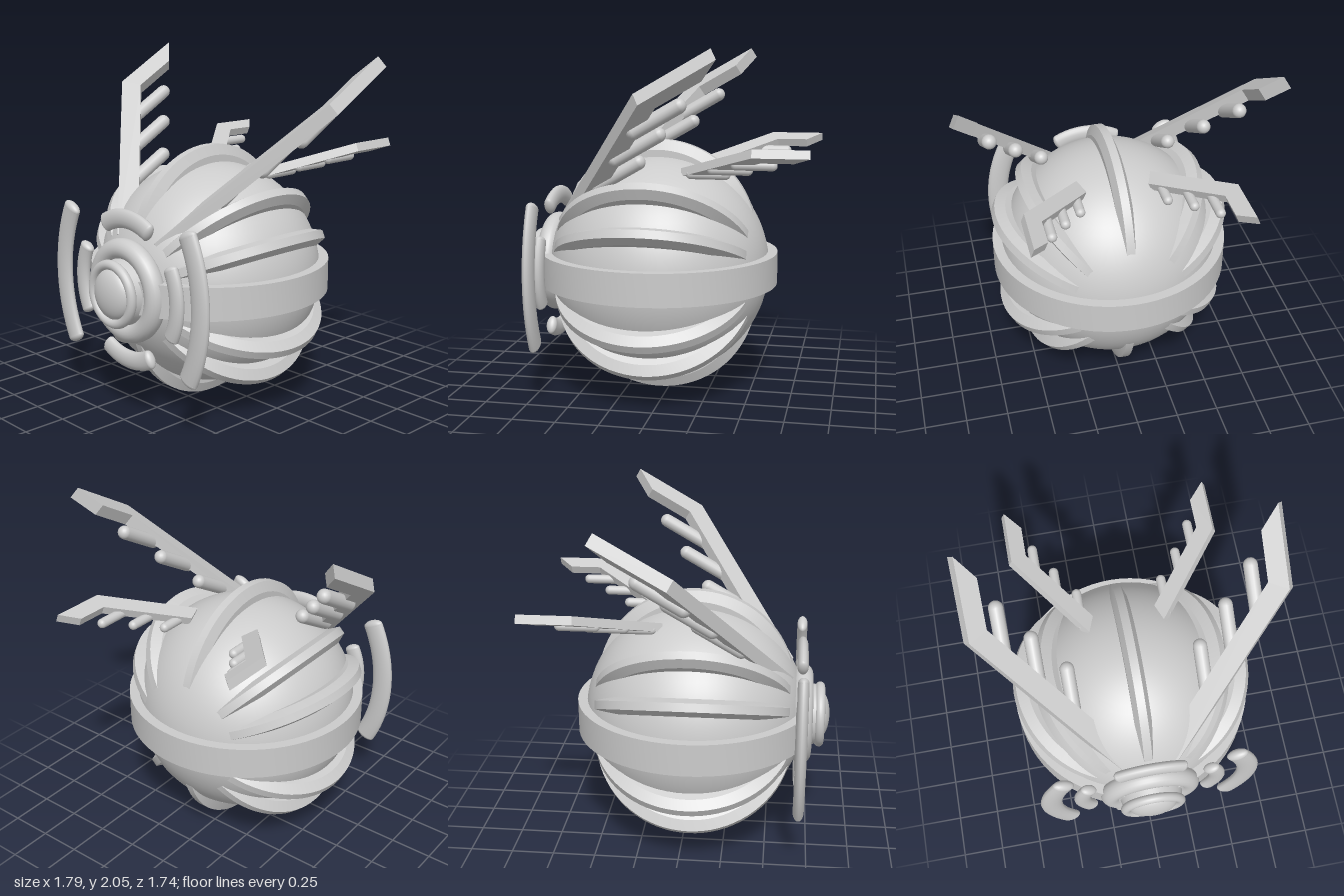
import * as THREE from 'three';
import { toCreasedNormals } from 'three/addons/utils/BufferGeometryUtils.js';

const V = (x, y, z) => new THREE.Vector3(x, y, z);
const P = (x, y) => new THREE.Vector2(x, y);

export function createModel() {
  const model = new THREE.Group();
  model.name = 'hornedOrb';
  const material = new THREE.MeshStandardMaterial({ color: 0xcccccc });

  // Everything round shares the orb's centre
  const body = new THREE.Group();
  body.name = 'body';
  body.position.set(-0.01, 0.74, 0.06);
  model.add(body);

  function add(parent, name, geometry) {
    const mesh = new THREE.Mesh(geometry, material);
    mesh.name = name;
    parent.add(mesh);
    return mesh;
  }

  add(body, 'orb', new THREE.SphereGeometry(0.66, 64, 40));

  // Equatorial belt
  const belt = [P(0.6, -0.095), P(0.71, -0.095), P(0.71, 0.095), P(0.6, 0.095)];
  add(body, 'belt', toCreasedNormals(new THREE.LatheGeometry(belt, 72), 0.5));

  // Crescent ribs: chamfered half rings, offset so their ends sink into the orb
  const ribProfile = [P(0.42, -0.05), P(0.53, -0.05), P(0.59, -0.024),
    P(0.59, 0.024), P(0.53, 0.05), P(0.42, 0.05)];
  for (const degrees of [90, 46, 24, -27, -47, -90, -133, -153, 156, 134]) {
    const rib = new THREE.LatheGeometry(ribProfile, 40, 0, Math.PI);
    rib.rotateZ(Math.PI / 2);
    rib.translate(0, 0.17, 0);
    rib.rotateZ(THREE.MathUtils.degToRad(degrees - 90));
    add(body, 'rib', toCreasedNormals(rib, 0.4));
  }

  // Eye: two rings, a backing hub and a domed lens
  const eye = new THREE.Group();
  eye.name = 'eye';
  eye.position.z = 0.64;
  body.add(eye);
  add(eye, 'outerRing', new THREE.TorusGeometry(0.24, 0.06, 20, 64));
  add(eye, 'innerRing', new THREE.TorusGeometry(0.168, 0.028, 16, 64)).position.z = 0.105;
  const hub = add(eye, 'hub', new THREE.CylinderGeometry(0.175, 0.22, 0.2, 48));
  hub.rotation.x = Math.PI / 2;
  const lens = add(eye, 'lens', new THREE.SphereGeometry(0.145, 40, 24));
  lens.scale.z = 0.45;
  lens.position.z = 0.1;

  // Flattened curved plates around the eye; mid = distance of the plate from the eye
  function plate(name, direction, mid, radius, tube, halfAngle) {
    const group = new THREE.Group();
    group.name = name;
    group.position.z = 0.632;
    group.rotation.z = direction;
    group.scale.z = 0.032 / tube;
    const arc = add(group, 'plateArc', new THREE.TorusGeometry(radius, tube, 16, 28, halfAngle * 2));
    arc.position.x = mid - radius;
    arc.rotation.z = -halfAngle;
    for (const s of [-1, 1]) {
      const end = add(group, 'plateEnd', new THREE.SphereGeometry(tube, 20, 14));
      end.position.set(mid - radius + radius * Math.cos(halfAngle), s * radius * Math.sin(halfAngle), 0);
      end.rotation.z = s * halfAngle;
      end.scale.y = 0.5;
    }
    body.add(group);
  }
  for (const side of [0, Math.PI]) {
    plate('outerSidePlate', side, 0.595, 0.89, 0.065, 0.46);
    plate('innerSidePlate', side, 0.41, 0.42, 0.05, 0.46);
    plate('shortPlate', side + Math.PI / 2, 0.41, 0.38, 0.055, 0.49);
  }

  // Flat bent bar: outline points lie on its upper face, thickness goes against the normal
  function bar(points, normal, thickness) {
    const n = normal.clone().normalize();
    const u = V(0, 0, 1).addScaledVector(n, -n.z).normalize();
    const v = n.clone().cross(u);
    const shape = new THREE.Shape(points.map((p) => P(p.dot(u), p.dot(v))));
    const geometry = new THREE.ExtrudeGeometry(shape, { depth: thickness, bevelEnabled: false });
    geometry.translate(0, 0, points[0].dot(n) - thickness);
    return geometry.applyMatrix4(new THREE.Matrix4().makeBasis(u, v, n));
  }

  // Rounded prong ending at tip, pointing along direction
  function prong(tip, direction, length, radius) {
    const d = direction.clone().normalize();
    const geometry = new THREE.CapsuleGeometry(radius, length, 6, 16);
    geometry.applyQuaternion(new THREE.Quaternion().setFromUnitVectors(V(0, 1, 0), d));
    const c = tip.clone().addScaledVector(d, -length / 2);
    return geometry.translate(c.x, c.y, c.z);
  }

  // Reverses the winding after reflecting so faces stay outward
  function mirrored(geometry) {
    const g = geometry.index ? geometry.toNonIndexed() : geometry.clone();
    g.scale(-1, 1, 1);
    for (const attribute of Object.values(g.attributes)) {
      const { array, itemSize } = attribute;
      for (let i = 0; i < array.length; i += itemSize * 3) {
        for (let k = 0; k < itemSize; k++) {
          const a = i + itemSize + k, b = a + itemSize;
          [array[a], array[b]] = [array[b], array[a]];
        }
      }
    }
    return g;
  }

  const antlers = [
    {
      name: 'frontAntler',
      outline: [V(0.16, 1.03, 0.64), V(0.88, 1.77, 0), V(0.88, 2.0, -0.4),
        V(0.78, 1.89, -0.31), V(0.78, 1.75, -0.07), V(0.06, 1.01, 0.57)],
      normal: V(-0.46, 0.77, 0.44), thickness: 0.073,
      tips: [V(0.70, 1.735, -0.19), V(0.545, 1.57, -0.05), V(0.38, 1.4, 0.1)],
      direction: V(0, 0.5, -0.87), length: 0.28, radius: 0.041,
    },
    {
      name: 'rearAntler',
      outline: [V(0.217, 1.355, -0.114), V(0.586, 1.505, -0.56), V(0.586, 1.505, -0.87),
        V(0.5, 1.47, -0.78), V(0.5, 1.47, -0.6), V(0.18, 1.34, -0.214)],
      normal: V(-0.378, 0.926, 0), thickness: 0.05,
      tips: [V(0.46, 1.405, -0.66), V(0.36, 1.365, -0.515), V(0.25, 1.325, -0.375)],
      direction: V(0, 0, -1), length: 0.2, radius: 0.028,
    },
  ];
  for (const a of antlers) {
    const parts = [['beam', bar(a.outline, a.normal, a.thickness)]];
    for (const tip of a.tips) parts.push(['prong', prong(tip, a.direction, a.length, a.radius)]);
    for (const side of ['left', 'right']) {
      const group = new THREE.Group();
      group.name = `${side} ${a.name}`;
      for (const [name, geometry] of parts) {
        add(group, name, side === 'left' ? geometry : mirrored(geometry));
      }
      model.add(group);
    }
  }
  return model;
}
